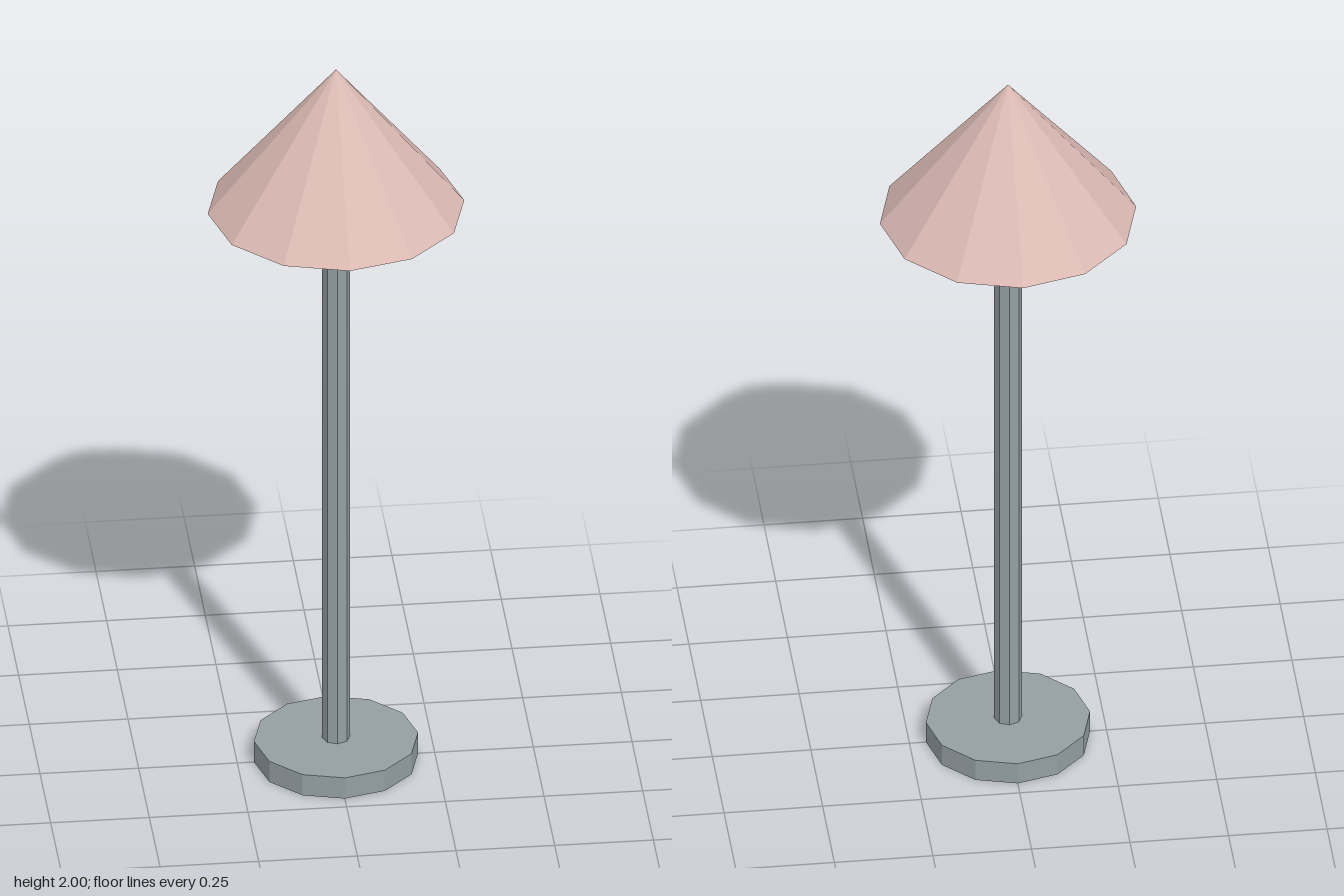
import * as THREE from 'three';

function flatMaterial(name, color) {
  const material = new THREE.MeshStandardMaterial({ color, flatShading: true });
  material.name = name;
  return material;
}

export function createModel() {
  const group = new THREE.Group();
  group.name = 'floorLamp';

  const metal = flatMaterial('grey metal', 0x939ea3);
  const fabric = flatMaterial('dusty pink', 0xdcbab4);
  const glow = flatMaterial('pale gold', 0xcfc18f);

  function addPart(name, geometry, material, y) {
    const mesh = new THREE.Mesh(geometry, material);
    mesh.name = name;
    mesh.position.y = y;
    group.add(mesh);
  }

  // Disc foot
  addPart('base', new THREE.CylinderGeometry(0.208, 0.208, 0.06, 12), metal, 0.03);
  // Slim pole from the foot up into the bulb
  addPart('pole', new THREE.CylinderGeometry(0.035, 0.035, 1.52, 8), metal, 0.81);
  // Faceted bulb, partly hidden by the shade
  addPart('bulb', new THREE.IcosahedronGeometry(0.09, 1), glow, 1.62);
  // Closed conical shade
  addPart('shade', new THREE.ConeGeometry(0.325, 0.4, 12), fabric, 1.8);

  return group;
}
